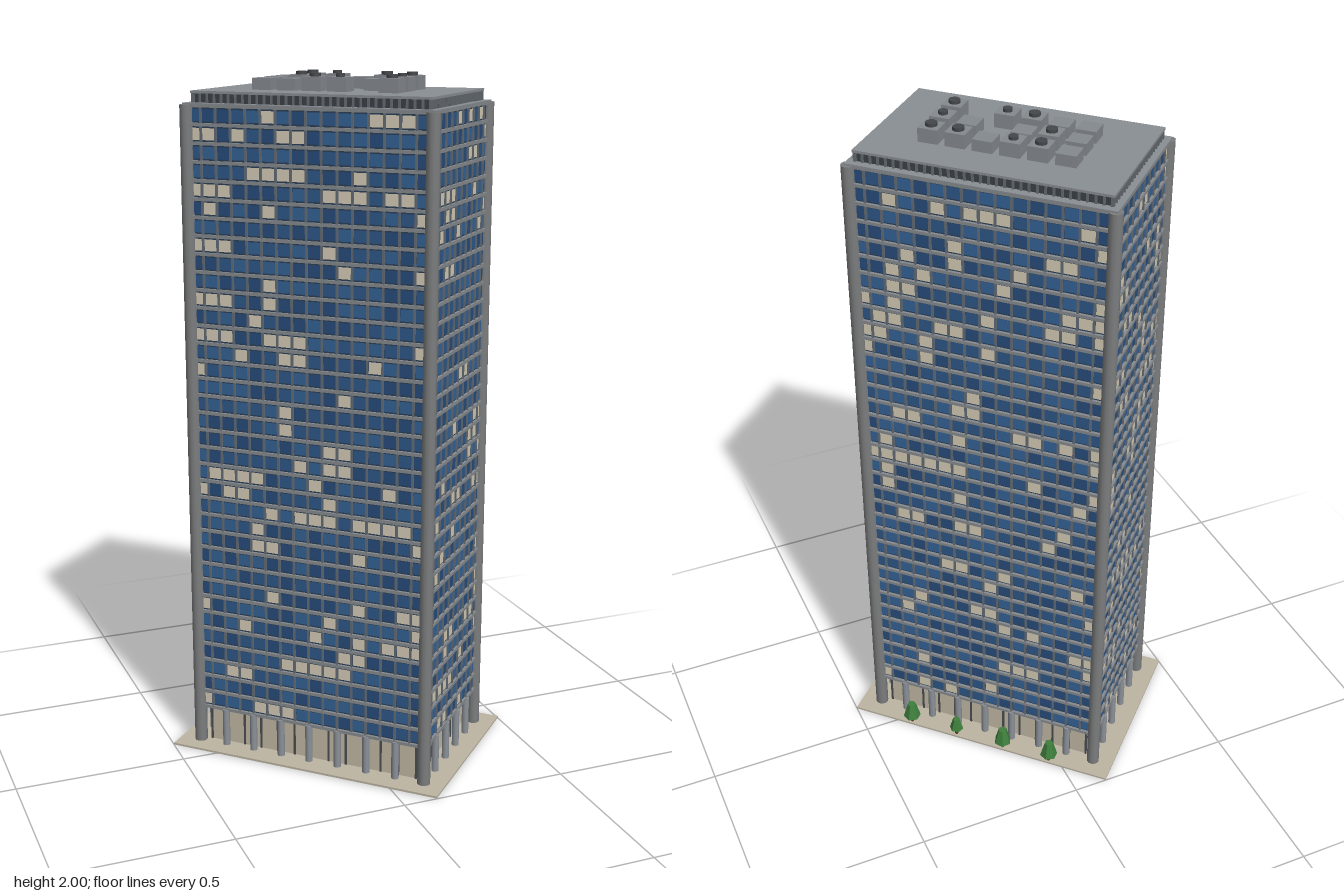
import * as THREE from 'three';
import { mergeGeometries } from 'three/addons/utils/BufferGeometryUtils.js';

const FLOORS = 35, BASE = 0.122, TOP = 1.913, PITCH = (TOP - BASE) / FLOORS;
const HX = 0.362, HZ = 0.222; // half size of the glass volume

const mat = (color, opts = {}) => new THREE.MeshStandardMaterial({ color, ...opts });

function box(w, h, d, x, y, z) {
  return new THREE.BoxGeometry(w, h, d).translate(x, y, z);
}

function cylinder(rTop, rBottom, y0, y1, x, z, sides) {
  return new THREE.CylinderGeometry(rTop, rBottom, y1 - y0, sides).translate(x, (y0 + y1) / 2, z);
}

// Four sides of a rectangular volume; each faces +z before being turned.
function sides(hx, hz, longBays, shortBays) {
  return [0, 1, 2, 3].map((k) => ({
    angle: k * Math.PI / 2,
    half: k % 2 ? hz : hx,
    depth: k % 2 ? hx : hz,
    bays: k % 2 ? shortBays : longBays,
  }));
}

function seeded(seed) {
  return () => {
    seed = (seed * 16807) % 2147483647;
    return seed / 2147483647;
  };
}

export function createModel() {
  const group = new THREE.Group();
  const tower = new THREE.Group();
  tower.name = 'tower';
  tower.rotation.y = -Math.PI / 4;
  group.add(tower);

  const add = (name, geometries, material) => {
    const mesh = new THREE.Mesh(mergeGeometries(geometries), material);
    mesh.name = name;
    tower.add(mesh);
  };

  // Plaza and the glass core
  add('plaza', [box(0.849, 0.006, 0.566, 0, 0.004, 0)], mat(0xbdb5a3));
  add('foundation', [box(0.664, 0.004, 0.41, 0, 0.002, 0)], mat(0x1c3040));
  add('glassCore', [box(HX * 2, TOP - BASE, HZ * 2, 0, (TOP + BASE) / 2, 0)], mat(0x2a4058));

  // Lobby walls with mullions and a top rail
  const lobbyX = 0.332, lobbyZ = 0.205;
  add('lobby', [box(lobbyX * 2, BASE - 0.006, lobbyZ * 2, 0, (BASE + 0.006) / 2, 0)], mat(0xc2b9a5));
  const lobbyFrames = [];
  for (const s of sides(lobbyX, lobbyZ, 12, 7)) {
    for (let i = 0; i <= s.bays; i++) {
      const x = -s.half + (2 * s.half * i) / s.bays;
      lobbyFrames.push(box(0.006, BASE - 0.006, 0.006, x, (BASE + 0.006) / 2, s.depth).rotateY(s.angle));
    }
    lobbyFrames.push(box(s.half * 2, 0.014, 0.006, 0, BASE - 0.008, s.depth).rotateY(s.angle));
  }
  add('lobbyFrames', lobbyFrames, mat(0x4a4d50));

  // Columns: slim ones round the arcade, full-height ones at the corners
  const columns = [], corners = [];
  for (const s of sides(HX + 0.003, HZ + 0.003, 8, 5)) {
    for (let i = 1; i < s.bays; i++) {
      const x = -s.half + (2 * s.half * i) / s.bays;
      columns.push(cylinder(0.011, 0.011, 0.006, BASE, x, s.depth, 10).rotateY(s.angle));
    }
  }
  for (const x of [-HX, HX]) for (const z of [-HZ, HZ]) {
    corners.push(cylinder(0.019, 0.019, 0.006, TOP + 0.002, x, z, 12));
  }
  add('arcadeColumns', columns, mat(0x8c9299));
  add('cornerColumns', corners, mat(0x7c7d7e));

  // Floor edges
  const slabs = [];
  for (let f = 0; f <= FLOORS; f++) {
    slabs.push(box(HX * 2 + 0.016, 0.009, HZ * 2 + 0.016, 0, BASE + f * PITCH, 0));
  }
  add('floorEdges', slabs, mat(0x878b8f));

  // Window panes in three blues and a lit tone, with mullions between
  const random = seeded(4711);
  const panes = [[], [], [], []], mullions = [];
  for (const s of sides(HX, HZ, 16, 10)) {
    const step = (2 * s.half) / s.bays;
    for (let i = 0; i <= s.bays; i++) {
      mullions.push(box(0.006, TOP - BASE, 0.008, -s.half + i * step, (TOP + BASE) / 2, s.depth + 0.002).rotateY(s.angle));
    }
    for (let f = 0; f < FLOORS; f++) {
      let lit = false;
      for (let i = 0; i < s.bays; i++) {
        lit = random() < (lit ? 0.38 : 0.14);
        const tone = lit ? 3 : Math.floor(random() * 3);
        panes[tone].push(new THREE.PlaneGeometry(step - 0.008, 0.033)
          .translate(-s.half + (i + 0.5) * step, BASE + (f + 0.5) * PITCH, s.depth + 0.002)
          .rotateY(s.angle));
      }
    }
  }
  add('mullions', mullions, mat(0x626b75));
  [0x274d7c, 0x2d5788, 0x346296, 0xd6ccb6].forEach((color, i) => {
    add(i === 3 ? 'litWindows' : 'blueWindows' + (i + 1), panes[i], mat(color));
  });

  // Roof deck, louvred plant screen and its cap
  const screenX = 0.348, screenZ = 0.206;
  add('roofDeck', [box(HX * 2 + 0.016, 0.006, HZ * 2 + 0.016, 0, TOP + 0.004, 0)], mat(0x8a8f94));
  add('plantScreen', [box(screenX * 2, 0.036, screenZ * 2, 0, 1.93, 0)], mat(0x3b4147));
  const fins = [];
  for (const s of sides(screenX, screenZ, 32, 20)) {
    for (let i = 0; i <= s.bays; i++) {
      const x = -s.half + (2 * s.half * i) / s.bays;
      fins.push(box(0.006, 0.036, 0.01, x, 1.93, s.depth).rotateY(s.angle));
    }
  }
  add('screenFins', fins, mat(0x666c72));
  add('roofCap', [box(0.708, 0.007, 0.424, 0, 1.9485, 0)], mat(0x8a8f94));

  // Rooftop units: '.' gap, 'b' plain box, 'F' large fan, 'f' small fan
  const units = [], fans = [];
  ['bFfbFF', 'bFb.bf', 'bbFf.F'].forEach((row, r) => {
    [...row].forEach((kind, c) => {
      if (kind === '.') return;
      const x = (c - 2.5) * 0.0755, z = (r - 1) * 0.077;
      const top = kind === 'b' ? 1.984 : 1.991;
      units.push(box(0.056, top - 1.95, 0.056, x, (top + 1.95) / 2, z));
      if (kind !== 'b') {
        const radius = kind === 'F' ? 0.016 : 0.013;
        fans.push(cylinder(radius, radius, top, 2, x, z, 12));
      }
    });
  });
  add('rooftopUnits', units, mat(0x858a8f));
  add('rooftopFans', fans, mat(0x45484c));

  // Row of trees along one long side of the plaza
  const trunks = [], crowns = [];
  [[-0.233, 1], [-0.079, 1], [0.078, 0.8], [0.232, 1]].forEach(([x, size]) => {
    trunks.push(cylinder(0.005, 0.005, 0.006, 0.036, x, -0.272, 6));
    crowns.push(cylinder(0.013 * size, 0.027 * size, 0.032, 0.032 + 0.05 * size, 0, 0, 6)
      .rotateY(x * 9).translate(x, 0, -0.272));
  });
  add('treeTrunks', trunks, mat(0x5e452e, { flatShading: true }));
  add('treeCrowns', crowns, mat(0x3f7f3c, { flatShading: true }));

  return group;
}
